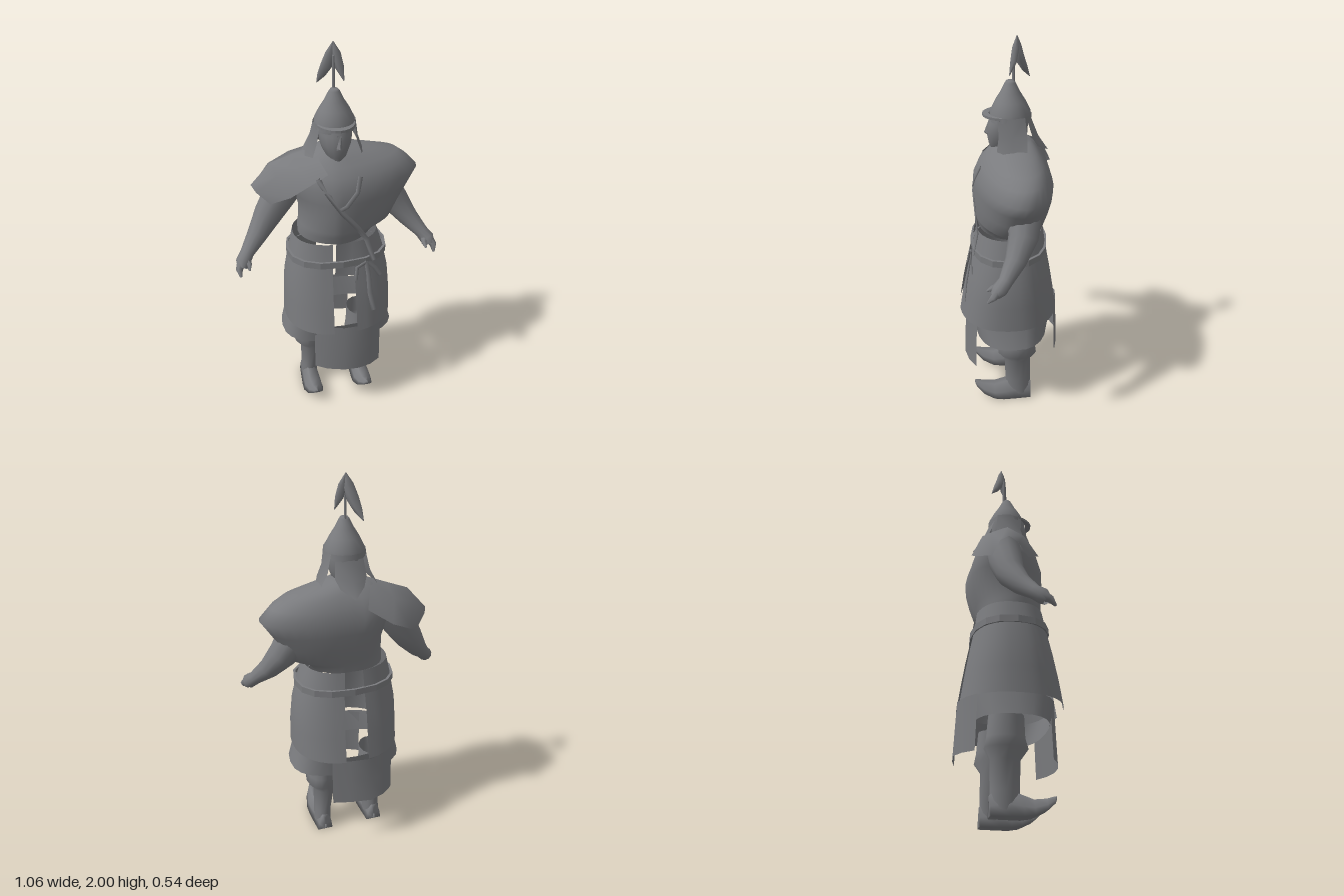
import * as THREE from 'three';

const V = (x, y, z) => new THREE.Vector3(x, y, z);

// Surface through rows of points; closed wraps each row around.
function sheet(rows, closed = false) {
  const n = rows[0].length, pos = [], idx = [];
  rows.forEach(r => r.forEach(p => pos.push(p[0], p[1], p[2])));
  for (let i = 0; i < rows.length - 1; i++) {
    for (let j = 0; j < (closed ? n : n - 1); j++) {
      const a = i * n + j, b = i * n + (j + 1) % n;
      idx.push(a, a + n, b, b, a + n, b + n);
    }
  }
  const g = new THREE.BufferGeometry();
  g.setAttribute('position', new THREE.Float32BufferAttribute(pos, 3));
  g.setIndex(idx);
  g.computeVertexNormals();
  return g;
}
// Same surface with hard facets.
function faceted(g) {
  const flat = g.toNonIndexed();
  flat.computeVertexNormals();
  return flat;
}

// Rounded horizontal section: [y, left reach, right reach, front z, back z].
function section([y, xl, xr, zf, zb], t0, t1, n, closed, cx = 0, power = 2.4, slope = 0) {
  const e = 2 / power, row = [];
  for (let i = 0; i < n; i++) {
    const t = t0 + (t1 - t0) * i / (closed ? n : n - 1);
    const c = Math.cos(t), s = Math.sin(t), mid = (zf + zb) / 2, half = (zf - zb) / 2;
    const x = Math.sign(c) * Math.abs(c) ** e * (c > 0 ? xl : xr);
    row.push([cx + x, y, mid + Math.sign(s) * Math.abs(s) ** e * half - slope * Math.abs(x)]);
  }
  return row;
}
const loft = (rings, n, power, slope = 0) =>
  sheet(rings.map(r => section(r, 0, Math.PI * 2, n, true, 0, power, slope)), true);

// Tapered tube through [x, y, z, radius]; flat squashes it into a strap.
function limb(path, n = 10, flat = 1) {
  const p = path.map(q => V(q[0], q[1], q[2]));
  return sheet(path.map((q, i) => {
    const t = p[Math.min(i + 1, p.length - 1)].clone().sub(p[Math.max(i - 1, 0)]).normalize();
    const u = V(0.01, 0, 1).cross(t).normalize(), v = t.clone().cross(u);
    return Array.from({ length: n }, (_, k) => {
      const a = k / n * Math.PI * 2;
      return p[i].clone().addScaledVector(u, Math.cos(a) * q[3])
        .addScaledVector(v, Math.sin(a) * q[3] * flat).toArray();
    });
  }), true);
}

export function createModel() {
  const model = new THREE.Group();
  model.name = 'armouredWarrior';
  const grey = new THREE.MeshStandardMaterial({ color: 0x7a7b7e, side: THREE.DoubleSide });
  grey.name = 'plain grey';
  const add = (name, geometry) => {
    const m = new THREE.Mesh(geometry, grey);
    m.name = name;
    model.add(m);
    return m;
  };
  const strap = (name, path) => add(name, limb(path, 4, 0.3));

  for (const s of [1, -1]) {
    const side = s > 0 ? 'left' : 'right';
    // Boot shaft with bulging trouser above it
    add(side + 'Leg', sheet([
      [0.03, 0.145, 0.045, 0.02, -0.11], [0.12, 0.142, 0.045, 0.03, -0.11],
      [0.26, 0.132, 0.058, 0.035, -0.11], [0.31, 0.15, 0.078, 0.07, -0.14],
      [0.36, 0.15, 0.072, 0.055, -0.13], [0.47, 0.15, 0.07, 0.05, -0.12],
    ].map(([y, cx, r, zf, zb]) => section([y, r, r, zf, zb], 0, Math.PI * 2, 14, true, cx * s, 2)), true));
    // Shoe with upturned toe: z, bottom, top, half width
    add(side + 'Shoe', sheet([
      [-0.112, 0.005, 0.08, 0.005], [-0.11, 0, 0.1, 0.042], [-0.02, 0, 0.12, 0.05], [0.04, 0, 0.1, 0.054],
      [0.09, 0.008, 0.083, 0.055], [0.15, 0.035, 0.09, 0.042], [0.19, 0.07, 0.103, 0.018], [0.2, 0.09, 0.105, 0.005],
    ].map(([z, lo, hi, w]) => [[-1, 0], [-0.85, 0.45], [-0.35, 1], [0.35, 1], [0.85, 0.45], [1, 0]]
      .map(([u, v]) => [s * 0.145 + u * w, lo + (hi - lo) * v, z])), true));
    // Arm and hand with hooked fingers
    add(side + 'Arm', limb([
      [s * 0.2, 1.34, -0.06, 0.09], [s * 0.27, 1.23, -0.06, 0.085], [s * 0.335, 1.13, -0.05, 0.072],
      [s * 0.4, 1.04, -0.01, 0.052], [s * 0.462, 0.97, 0.04, 0.035], [s * 0.487, 0.94, 0.07, 0.038],
      [s * 0.495, 0.915, 0.09, 0.025],
    ], 12));
    add(side + 'Fingers', limb([
      [s * 0.493, 0.94, 0.07, 0.028], [s * 0.512, 0.915, 0.1, 0.018], [s * 0.508, 0.885, 0.125, 0.006]], 6));
    add(side + 'Thumb', limb([
      [s * 0.475, 0.955, 0.06, 0.026], [s * 0.46, 0.935, 0.1, 0.014], [s * 0.463, 0.92, 0.128, 0.005]], 6));
    // Armour skirt half, open at front and back
    const ends = s > 0 ? [-1.4, 1.4] : [Math.PI - 1.4, Math.PI + 1.4];
    add(side + 'SkirtPanel', sheet([
      [1.04, 0.215, 0.22, 0.175, -0.17], [0.93, 0.25, 0.245, 0.195, -0.185], [0.8, 0.278, 0.268, 0.225, -0.21],
      [0.68, 0.288, 0.275, 0.25, -0.23], [0.545, 0.29, 0.28, 0.272, -0.25],
    ].map(r => section(r, ...ends, 17, false, 0, 2.3))));
    // Helmet side flap
    add(side + 'EarFlap', sheet([
      [[s * 0.085, 1.63, 0.06], [s * 0.105, 1.63, -0.01], [s * 0.085, 1.63, -0.07]],
      [[s * 0.098, 1.54, 0.055], [s * 0.118, 1.54, -0.01], [s * 0.105, 1.54, -0.08]],
      [[s * 0.12, 1.475, 0.065], [s * 0.148, 1.455, -0.01], [s * 0.145, 1.46, -0.08]],
    ]));
  }

  // Cloth under the armour: short skirt and two hanging flaps
  add('clothSkirt', loft([
    [0.555, 0.275, 0.265, 0.22, -0.22], [0.5, 0.29, 0.28, 0.205, -0.21], [0.437, 0.31, 0.295, 0.19, -0.2],
  ], 24, 2.6));
  // Each flap hangs from [x, z] stations, with a sloping hem
  const flap = (stations, hemStart, hemEnd) => sheet([0, 0.5, 1].map(k => stations.map(([x, z], i) => {
    const hem = hemStart + (hemEnd - hemStart) * i / (stations.length - 1);
    return [x, 0.55 + (hem - 0.55) * k, z * (0.95 + 0.05 * k)];
  })));
  add('frontFlap', flap([[-0.15, 0.19], [-0.09, 0.225], [0, 0.25], [0.08, 0.25], [0.15, 0.23], [0.21, 0.19]], 0.275, 0.258));
  add('backFlap', flap([[-0.21, -0.19], [-0.15, -0.24], [-0.07, -0.272], [0.04, -0.26], [0.135, -0.24]], 0.28, 0.29));

  // Belt
  add('belt', faceted(sheet([[0.915, 0], [0.915, 0.012], [0.95, 0.012], [0.95, 0]].map(([y, o]) =>
    section([y, 0.255 + o, 0.245 + o, 0.192 + o, -0.182 - o], 0, Math.PI * 2, 16, true, 0, 2.4)), true)));

  // Torso with the wide robe over the left shoulder
  add('robe', loft([
    [1.03, 0.185, 0.19, 0.16, -0.15], [1.07, 0.22, 0.19, 0.17, -0.155], [1.1, 0.3, 0.185, 0.178, -0.165],
    [1.18, 0.345, 0.18, 0.182, -0.185], [1.26, 0.395, 0.2, 0.184, -0.197], [1.33, 0.44, 0.23, 0.178, -0.197],
    [1.39, 0.385, 0.22, 0.152, -0.178], [1.43, 0.33, 0.19, 0.115, -0.155], [1.46, 0.21, 0.14, 0.085, -0.13],
    [1.49, 0.09, 0.08, 0.05, -0.1], [1.495, 0.005, 0.005, -0.02, -0.03],
  ], 32, 2.05, 0.11));

  // Shoulder guard over the right arm
  add('shoulderGuard', sheet([
    [[-0.06, 1.38, -0.195], [-0.09, 1.46, -0.13], [-0.1, 1.485, -0.03], [-0.09, 1.46, 0.06], [-0.06, 1.41, 0.13]],
    [[-0.18, 1.3, -0.222], [-0.2, 1.41, -0.17], [-0.2, 1.45, -0.05], [-0.18, 1.42, 0.06], [-0.15, 1.36, 0.13]],
    [[-0.29, 1.24, -0.18], [-0.31, 1.37, -0.14], [-0.31, 1.41, -0.06], [-0.29, 1.38, 0.03], [-0.24, 1.3, 0.115]],
    [[-0.34, 1.22, -0.14], [-0.39, 1.28, -0.11], [-0.41, 1.295, -0.07], [-0.39, 1.275, -0.02], [-0.33, 1.235, 0.04]],
  ]));

  // Collar trim, diagonal strap and belt tails
  strap('collarTrim', [[0.095, 1.39, 0.143, 0.012], [0.075, 1.32, 0.172, 0.012],
    [0.02, 1.255, 0.184, 0.012], [-0.01, 1.24, 0.184, 0.011]]);
  strap('diagonalStrap', [[-0.11, 1.39, 0.124, 0.013], [-0.06, 1.31, 0.168, 0.013], [0, 1.22, 0.184, 0.013],
    [0.08, 1.12, 0.174, 0.013], [0.13, 1.04, 0.165, 0.013], [0.16, 0.93, 0.19, 0.013]]);
  strap('longTail', [[0.12, 0.93, 0.2, 0.011], [0.13, 0.86, 0.21, 0.012],
    [0.135, 0.76, 0.228, 0.013], [0.155, 0.65, 0.242, 0.013]]);
  strap('shortTail', [[0.13, 0.93, 0.2, 0.011], [0.165, 0.89, 0.2, 0.012], [0.195, 0.84, 0.2, 0.012]]);
  strap('sideTail', [[0.12, 0.93, 0.2, 0.01], [0.07, 0.91, 0.21, 0.01], [0.06, 0.84, 0.222, 0.01]]);

  // Head
  add('head', loft([
    [1.4, 0.06, 0.06, 0.05, -0.08], [1.45, 0.03, 0.03, 0.088, -0.075], [1.475, 0.055, 0.055, 0.1, -0.08],
    [1.53, 0.075, 0.075, 0.11, -0.088], [1.58, 0.082, 0.082, 0.104, -0.09], [1.65, 0.08, 0.08, 0.08, -0.085],
  ], 16, 2.1));
  add('nose', faceted(sheet([[-0.02, 0.1], [0, 0.123], [0.02, 0.1]].map(([x, z]) =>
    [[x * 0.5, 1.59, 0.1], [x, 1.53, z], [x * 0.8, 1.515, 0.1]]))));

  // Helmet, brim and neck guard
  add('helmet', new THREE.LatheGeometry([[0.1, 1.595], [0.098, 1.64], [0.073, 1.69], [0.048, 1.73], [0.026, 1.775],
    [0.018, 1.785], [0, 1.785]].map(p => new THREE.Vector2(...p)), 16)).position.z = -0.004;
  add('helmetBand', new THREE.CylinderGeometry(0.102, 0.104, 0.022, 16, 1, true)).position.set(0, 1.617, -0.003);
  add('brim', faceted(sheet([[0.095, 0.1, 1.632], [0.098, 0.13, 1.63], [0.098, 0.13, 1.618], [0.095, 0.1, 1.614]].map(([rx, rz, y]) =>
    Array.from({ length: 11 }, (_, i) => {
      const a = 0.35 + i / 10 * (Math.PI - 0.7);
      return [Math.cos(a) * rx, y, Math.sin(a) * rz];
    })))));
  add('neckGuard', sheet([
    [[-0.07, 1.6, -0.085], [0, 1.6, -0.105], [0.07, 1.6, -0.085]],
    [[-0.078, 1.52, -0.11], [0, 1.51, -0.14], [0.078, 1.52, -0.11]],
    [[-0.06, 1.475, -0.135], [0, 1.435, -0.19], [0.06, 1.475, -0.135]],
  ]));

  // Plume on its pole
  add('plumePole', new THREE.CylinderGeometry(0.007, 0.007, 0.16, 8)).position.set(0, 1.855, -0.02);
  add('backFeather', limb([[0.002, 1.995, -0.035, 0.002], [-0.01, 1.94, -0.04, 0.024], [-0.026, 1.88, -0.052, 0.029],
    [-0.045, 1.83, -0.075, 0.02], [-0.063, 1.785, -0.1, 0.002]], 6, 0.8));
  add('frontFeather', limb([[0.002, 1.995, -0.035, 0.002], [0.014, 1.94, -0.028, 0.022], [0.028, 1.88, -0.018, 0.021],
    [0.045, 1.82, 0.002, 0.002]], 6, 0.8));
  return model;
}
